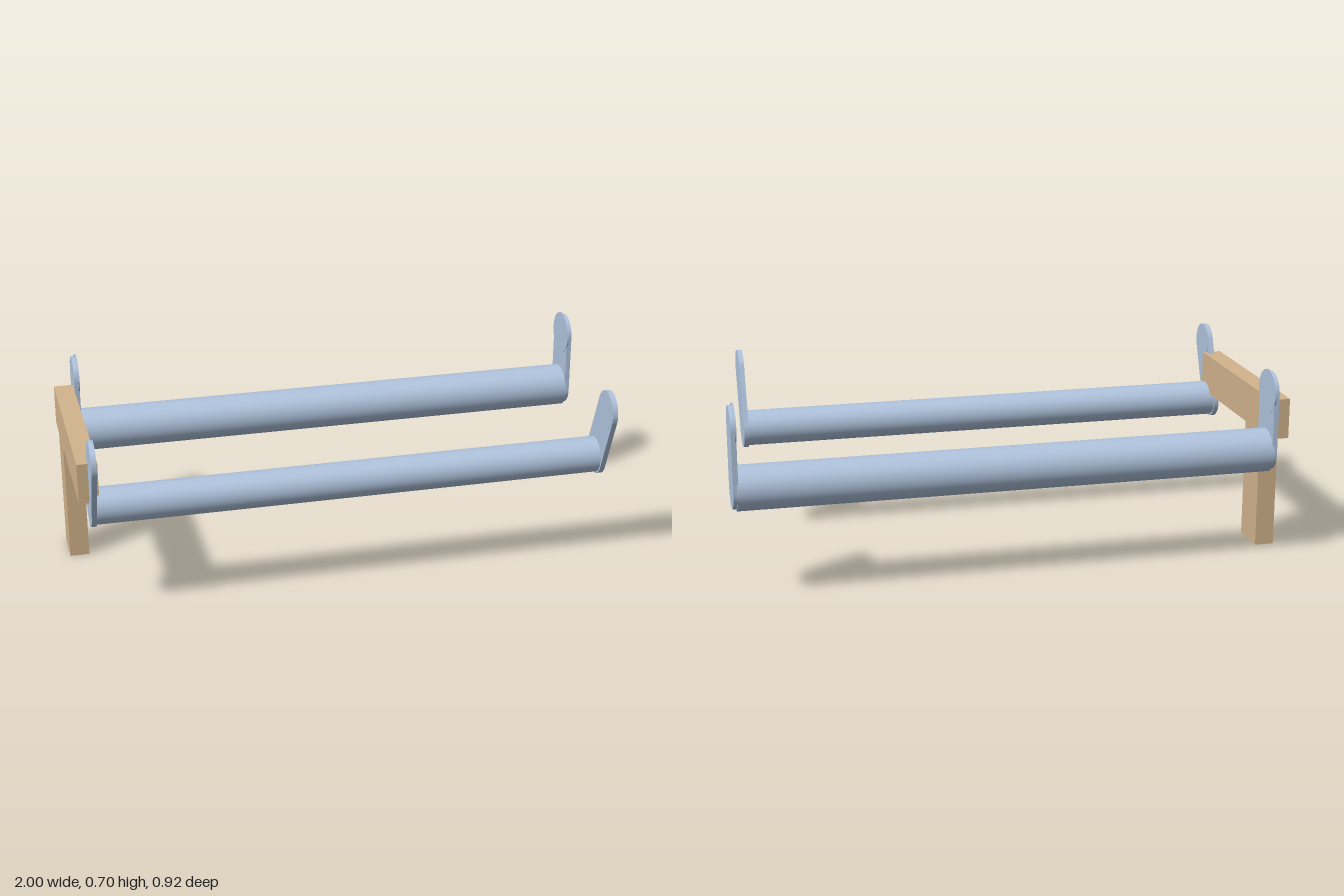
import * as THREE from 'three';

const metal = new THREE.MeshStandardMaterial({ color: 0xb0c4de });
const wood = new THREE.MeshStandardMaterial({ color: 0xd2b48c });

function add(parent, name, geometry, material) {
  const mesh = new THREE.Mesh(geometry, material);
  mesh.name = name;
  parent.add(mesh);
  return mesh;
}

// Cylinder lying along x from x0 to x1
function rod(x0, x1, radius, y, z) {
  return new THREE.CylinderGeometry(radius, radius, x1 - x0, 48)
    .rotateZ(Math.PI / 2)
    .translate((x0 + x1) / 2, y, z);
}

// Flat plate with round ends, facing x, reaching up from its lower centre
function plate(x0, x1, radius, length, tilt, y, z) {
  const s = new THREE.Shape();
  s.absarc(0, length, radius, 0, Math.PI, false);
  s.absarc(0, 0, radius, Math.PI, Math.PI * 2, false);
  s.closePath();
  return new THREE.ExtrudeGeometry(s, { depth: x1 - x0, bevelEnabled: false, curveSegments: 24 })
    .rotateY(Math.PI / 2)
    .rotateX(tilt)
    .translate(x0, y, z);
}

// A roller with an upright plate at each end and a disc inside each plate's top
function roller(name, { x0, x1, rodRadius, discRadius, plateRadius, length, tilt, y, z }) {
  const g = new THREE.Group();
  g.name = name;
  const t = 0.018, d = 0.005;
  add(g, 'tube', rod(x0 + t - d, x1 - t + d, rodRadius, y, z), metal);
  const topY = y + length * Math.cos(tilt);
  const topZ = z + length * Math.sin(tilt);
  for (const [side, a, b, c] of [['right', x0, x0 + t, x0 + t - d], ['left', x1 - t, x1, x1 - t - 0.001]]) {
    add(g, side + 'EndPlate', plate(a, b, plateRadius, length, tilt, y, z), metal);
    add(g, side + 'Disc', rod(c, c + d + 0.001, discRadius, topY, topZ), metal);
  }
  return g;
}

export function createModel() {
  const model = new THREE.Group();
  model.name = 'rollerStand';

  // Wooden bracket: beam on a single leg
  const bracket = new THREE.Group();
  bracket.name = 'bracket';
  add(bracket, 'beam', new THREE.BoxGeometry(0.07, 0.146, 0.722).translate(-0.965, 0.51, -0.02), wood);
  add(bracket, 'leg', new THREE.BoxGeometry(0.07, 0.437, 0.144).translate(-0.965, 0.2185, -0.212), wood);
  model.add(bracket);

  // Thick rear roller with upright plates
  model.add(roller('rearRoller', {
    x0: -0.93, x1: 1, rodRadius: 0.079, discRadius: 0.079, plateRadius: 0.0715,
    length: 0.217, tilt: 0, y: 0.401, z: -0.381,
  }));

  // Thinner front roller with plates leaning forward
  model.add(roller('frontRoller', {
    x0: -0.963, x1: 0.887, rodRadius: 0.065, discRadius: 0.065, plateRadius: 0.071,
    length: 0.222, tilt: Math.atan2(0.085, 0.205), y: 0.408, z: 0.306,
  }));

  return model;
}
